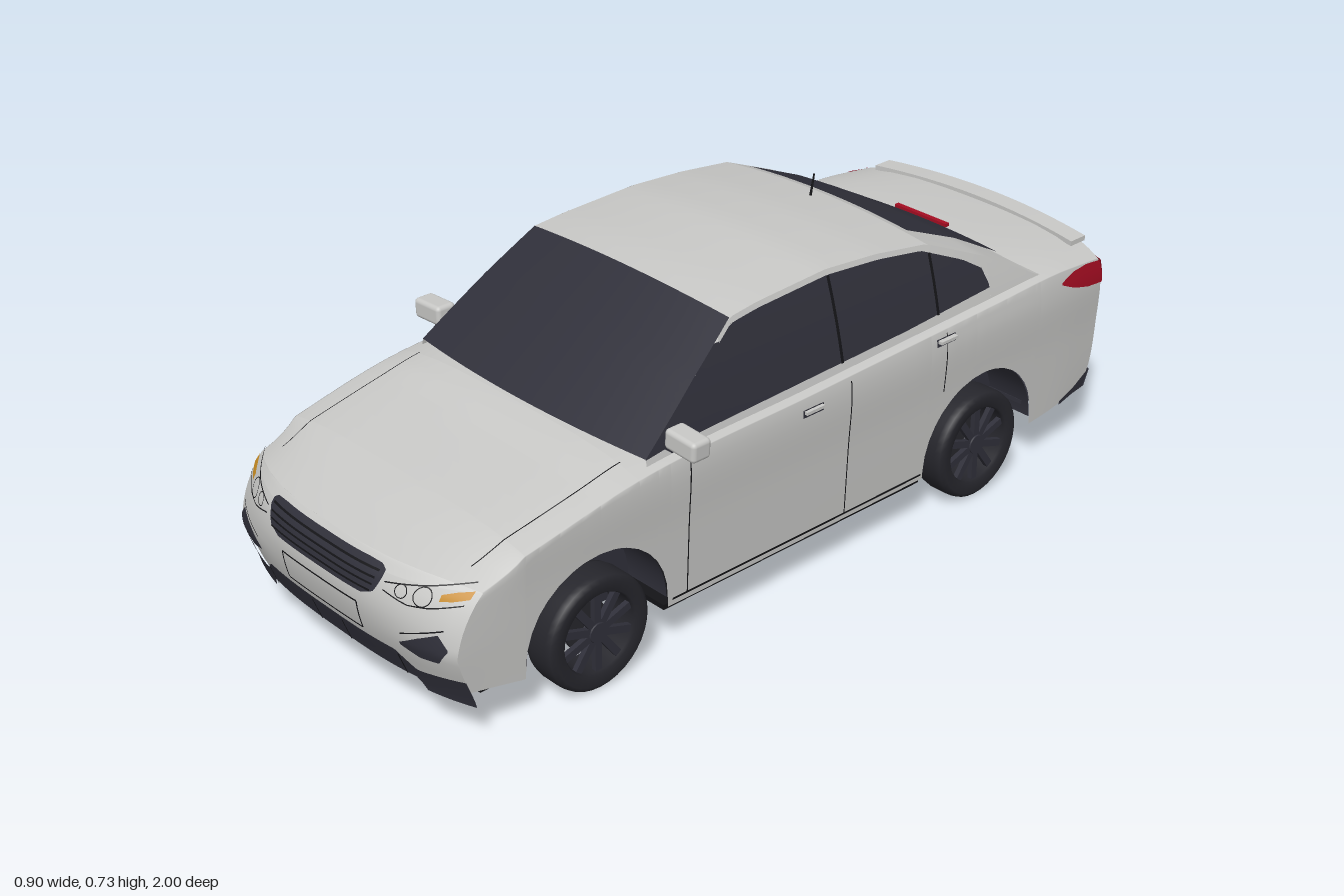
import * as THREE from 'three';
import { RoundedBoxGeometry } from 'three/addons/geometries/RoundedBoxGeometry.js';

const colour = (name, color) => new THREE.MeshStandardMaterial({ name, color, side: THREE.DoubleSide });
const paint = colour('silver paint', 0xc8c8c6);
const glass = colour('dark glass and trim', 0x30303a);
const rubber = colour('tyre rubber', 0x26262c);
const black = colour('black', 0x141417);
const red = colour('red lens', 0xa50d22);
const amber = colour('amber lens', 0xc58a22);

// Look-up through sorted points, straight or smooth
function table(points, smooth = false) {
  const p = [...points].sort((a, b) => a[0] - b[0]), n = p.length - 1;
  const slope = i => {
    const a = p[Math.max(i - 1, 0)], b = p[Math.min(i + 1, n)];
    return (b[1] - a[1]) / (b[0] - a[0]);
  };
  return x => {
    if (x <= p[0][0]) return p[0][1];
    if (x >= p[n][0]) return p[n][1];
    let i = 0;
    while (x > p[i + 1][0]) i++;
    const h = p[i + 1][0] - p[i][0], t = (x - p[i][0]) / h;
    if (!smooth) return p[i][1] + (p[i + 1][1] - p[i][1]) * t;
    const k = t * t * (3 - 2 * t);
    return p[i][1] * (1 - k) + p[i + 1][1] * k + h * t * (1 - t) * ((1 - t) * slope(i) - t * slope(i + 1));
  };
}

// Surface from a rule over a grid of whole-number steps
function grid(nu, nv, rule) {
  const pos = [], index = [];
  for (let i = 0; i <= nu; i++) for (let j = 0; j <= nv; j++) pos.push(...rule(i, j));
  for (let i = 0; i < nu; i++) for (let j = 0; j < nv; j++) {
    const a = i * (nv + 1) + j, b = a + nv + 1;
    index.push(a, b, a + 1, b, b + 1, a + 1);
  }
  const g = new THREE.BufferGeometry();
  g.setAttribute('position', new THREE.Float32BufferAttribute(pos, 3));
  g.setIndex(index);
  g.computeVertexNormals();
  return g;
}

// Body rules: plan width, side curve, shoulder, centre line and sill
const width = table([[1, .372], [.8, .38], [.5, .386], [-.6, .385], [-.85, .38], [-1, .372]], true);
const bulge = table([[.1, .965], [.2, .975], [.3, .985], [.42, 1], [.5, .975]], true);
const shoulder = table([[.99, .345], [.8, .385], [.48, .445], [0, .46], [-.56, .475], [-.78, .48], [-1, .467]], true);
const centre = table([[.99, .37], [.8, .408], [.6, .447], [.48, .474], [0, .485], [-.56, .505], [-.73, .512], [-.9, .506], [-1, .5]], true);
const sill = table([[.99, .13], [.78, .105], [.4, .112], [-.72, .115], [-1, .138]]);
const noseLine = table([[.1, .945], [.13, .955], [.2, .98], [.27, .993], [.33, .985], [.355, .97], [.38, .95]], true);
const tailLine = table([[.1, .955], [.14, .968], [.2, .99], [.3, .998], [.42, .998], [.47, .986], [.5, .975]], true);
const sweep = table([[.22, .05], [.36, .11]]);
const corner = x => Math.min(Math.abs(x) / .37, 1.05) ** 3;
const noseZ = (x, y) => noseLine(y) - sweep(y) * corner(x);
const tailZ = (x, y) => -tailLine(y) + .05 * corner(x);
const AXLES = [.594, -.537], ARCH = .183, ARCH_Y = .135, HOOD = 9, SIDE = 12;

// Bend the ends of the body to the nose and tail curves
function bend(x, y, z) {
  if (z > .78) z = .78 + (z - .78) * (noseZ(x, y) - .78) / .21;
  else if (z < -.78) z = -.78 + (z + .78) * (tailZ(x, y) + .78) / -.22;
  return [x, y, z];
}
function bottom(z) {
  let y = sill(z);
  for (const c of AXLES) if (Math.abs(z - c) < ARCH + 1e-6) y = ARCH_Y + Math.sqrt(Math.max(0, ARCH ** 2 - (z - c) ** 2));
  return y;
}
const acrossHood = [0, .25, .5, .7, .82, .9, .95, .98, .993, 1];
function section(z, j) {
  const ys = shoulder(z), k = Math.abs(j), s = Math.sign(j);
  if (k <= HOOD) {
    const t = acrossHood[k];
    return [s * t * width(z) * bulge(ys), ys + (centre(z) - ys) * (1 - t ** 4)];
  }
  const y = ys + (bottom(z) - ys) * (k - HOOD) / SIDE;
  return [s * width(z) * bulge(y), y];
}

// Cabin rules: lean of the sides, roof edge, roof crown, screen bow, glass edges
const cabinX = y => .36 - (y - .47) * .2 - Math.max(0, y - .47) ** 2 * .35;
const roofEdge = table([[.455, .468], [.3, .585], [.18, .668], [.1, .676], [-.1, .684], [-.25, .673], [-.4, .652], [-.57, .578], [-.73, .49], [-.77, .475]]);
const crown = table([[.455, .008], [.18, .02], [-.4, .02], [-.73, .022], [-.77, .025]]);
const bow = table([[.455, .03], [.18, .015], [-.4, 0]]);
const cabinTop = (z, t, lift = 0) => {
  const y = roofEdge(z), c = 1 - t * t;
  return [t * cabinX(y), y + crown(z) * c + lift, z + bow(z) * c];
};
const glassTop = z => z > .22 ? roofEdge(z) : z > -.38 ? roofEdge(z) - .012 : table([[-.38, .643], [-.5, .59], [-.555, .556], [-.572, .515]])(z);
const glassFoot = table([[.455, .466], [.4, .472], [-.3, .492], [-.572, .507]]);

export function createModel() {
  const car = new THREE.Group();
  car.name = 'car';
  const add = (name, geometry, material, x = 0, y = 0, z = 0, parent = car) => {
    const m = new THREE.Mesh(geometry, material);
    m.name = name;
    m.position.set(x, y, z);
    parent.add(m);
    return m;
  };
  // Thin panel between a lower and an upper outline, laid on a surface
  const panel = (name, material, lay, pts, nu = 24, nv = 6) => {
    const lo = table(pts.map(p => [p[0], p[1]])), hi = table(pts.map(p => [p[0], p[2]]));
    const a = pts[0][0], b = pts[pts.length - 1][0];
    return add(name, grid(nu, nv, (i, j) => {
      const u = a + (b - a) * i / nu;
      return lay(u, lo(u) + (hi(u) - lo(u)) * j / nv);
    }), material);
  };
  const box = (name, mat, w, h, d, x, y, z) => add(name, new THREE.BoxGeometry(w, h, d), mat, x, y, z);

  // Body shell with wheel arches, then nose and tail
  const stations = [];
  for (let i = 0; i <= 40; i++) stations.push(.99 - i * 1.99 / 40);
  for (const c of AXLES) {
    for (let k = 0; k <= 16; k++) stations.push(c + ARCH * Math.cos(k * Math.PI / 16));
    stations.push(c + ARCH + .001, c - ARCH - .001);
  }
  stations.sort((a, b) => b - a);
  const N = HOOD + SIDE;
  add('bodyShell', grid(stations.length - 1, 2 * N, (i, j) => bend(...section(stations[i], j - N), stations[i])), paint);
  for (const [name, z] of [['nose', .99], ['tail', -1]])
    add(name, grid(N, 28, (i, j) => {
      const [x, y] = section(z, i);
      return bend(x * (j / 14 - 1), y, z);
    }), paint);

  // Cabin top: windscreen, roof, rear pillars and rear window
  for (const [name, mat, a, b] of [['windscreen', glass, .455, .18], ['roof', paint, .18, -.4], ['rearPillars', paint, -.4, -.77]])
    add(name, grid(16, 20, (i, j) => cabinTop(a + (b - a) * i / 16, j / 10 - 1)), mat);
  add('rearWindow', grid(16, 16, (i, j) => cabinTop(-.41 - .315 * i / 16, (j / 8 - 1) * (.78 - .1 * i / 16), .004)), glass);
  box('highStopLamp', red, .16, .008, .012, 0, .519, -.735);
  const antenna = add('antenna', new THREE.CylinderGeometry(.002, .003, .05, 6), black, 0, .703, -.365);
  antenna.rotation.x = -.2;

  const front = s => (x, y) => [s * x, y, noseZ(x, y) + .006];
  const rear = s => (x, y) => [s * x, y, tailZ(x, y) - .005];
  const frame = (name, lay, w, y0, y1) => {
    for (const y of [y0, y1]) panel(name, black, lay, [[-w, y - .002, y + .002], [w, y - .002, y + .002]], 12, 1);
    for (const x of [-w, w]) panel(name, black, lay, [[x - .002, y0, y1], [x + .002, y0, y1]], 1, 4);
  };

  // Grilles, number plate frames and bumper trim
  panel('upperGrille', glass, front(1), [[-.187, .34, .352], [-.175, .308, .36], [-.14, .293, .362], [.14, .293, .362], [.175, .308, .36], [.187, .34, .352]], 48);
  for (let k = 0; k < 4; k++) {
    const y = .307 + k * .014, w = .165 + k * .004;
    panel('grilleSlat', black, (x, v) => [x, v, noseZ(x, v) + .009], [[-w, y - .002, y + .002], [w, y - .002, y + .002]], 20, 1);
  }
  panel('lowerGrille', glass, front(1), [[-.37, .097, .165], [-.252, .097, .15], [-.248, .125, .155], [-.21, .125, .187], [.21, .125, .187], [.248, .125, .155], [.252, .097, .15], [.37, .097, .165]], 80);
  for (const x of [-.22, -.05, .05, .22])
    panel('lowerGrilleBar', black, (u, v) => [u, v, noseZ(u, v) + .009], [[x - .002, .127, .18], [x + .002, .127, .18]], 1, 4);
  frame('frontPlateFrame', front(1), .125, .201, .266);
  frame('rearPlateFrame', rear(1), .125, .345, .415);
  panel('rearBumperTrim', glass, rear(1), [[-.365, .138, .18], [-.25, .138, .165], [.25, .138, .165], [.365, .138, .18]], 32);

  // Boot lip with swept ends
  const lip = new THREE.BoxGeometry(.62, .012, .05, 16, 1, 1), lp = lip.attributes.position;
  for (let i = 0; i < lp.count; i++) {
    const c = (lp.getX(i) / .31) ** 2;
    lp.setY(i, lp.getY(i) - .012 * c);
    lp.setZ(i, lp.getZ(i) + .02 * c);
  }
  lip.computeVertexNormals();
  add('bootLip', lip, paint, 0, .507, -.952);

  for (const s of [1, -1]) {
    const side = (z, y) => {
      const p = bend(width(z) * bulge(y), y, z);
      return [s * (p[0] + .003), p[1], p[2]];
    };
    const cabin = (z, y) => [s * cabinX(y), y, z];
    const over = (z, y) => [s * (cabinX(y) + .003), y, z];
    const along = (a, b, n, f) => Array.from({ length: n + 1 }, (_, i) => f(a + (b - a) * i / n));

    // Side windows, roof rail and rear quarter
    panel('sideWindows', glass, cabin, along(.455, -.572, 60, z => [z, glassFoot(z), glassTop(z)]), 60);
    panel('roofRail', paint, cabin, along(.22, -.572, 48, z => [z, glassTop(z), roofEdge(z)]), 48, 2);
    panel('rearQuarter', paint, cabin, along(-.572, -.77, 12, z => [z, .45, Math.max(roofEdge(z), .45)]), 12);
    panel('beltLine', paint, cabin, along(.455, -.572, 30, z => [z, .42, glassFoot(z)]), 30, 2);
    for (const z of [-.1, -.4]) panel('windowPillar', black, over, [[z - .004, glassFoot(z), glassTop(z)], [z + .004, glassFoot(z), glassTop(z)]], 1, 4);

    // Door seams, sill line and handles
    for (const [z, y0, y1] of [[.36, .13, .44], [-.1, .13, .455], [-.4, .32, .465]])
      panel('doorSeam', black, side, [[z - .0015, y0, y1], [z + .0015, y0, y1]], 1, 14);
    panel('sillLine', black, side, [[.4, .126, .131], [-.345, .126, .131]], 16, 1);
    for (const [z, y] of [[.015, .428], [-.397, .449]]) {
      panel('handleRecess', glass, side, [[z - .03, y - .009, y + .009], [z + .03, y - .009, y + .009]], 4, 2);
      box('doorHandle', paint, .012, .007, .052, s * .391, y + .003, z);
    }

    // Bonnet shut line
    add('bonnetLine', grid(24, 1, (i, j) => {
      const z = .93 - .44 * i / 24, t = .84 + j * .006;
      const p = bend(t * width(z) * bulge(shoulder(z)), shoulder(z) + (centre(z) - shoulder(z)) * (1 - t ** 4) + .003, z);
      return [s * p[0], p[1], p[2]];
    }), black);

    // Headlamp: edge lines, lamp rings and marker
    const lampTop = table([[.195, .334], [.28, .347], [.355, .363]]), lampFoot = table([[.195, .318], [.25, .305], [.3, .31], [.355, .325]]);
    for (const f of [lampTop, lampFoot]) panel('headlampEdge', black, front(s), along(.195, .355, 8, x => [x, f(x) - .0012, f(x) + .0012]), 16, 1);
    for (const [x, r] of [[.28, .017], [.235, .012]])
      add('lampRing', grid(20, 1, (i, j) => {
        const a = i * Math.PI / 10, q = r + j * .002;
        return front(s)(x + q * Math.cos(a), .327 + q * Math.sin(a));
      }), black);
    panel('frontMarker', amber, front(s), [[.312, .326, .338], [.335, .329, .345], [.36, .336, .349]], 8, 3);

    // Fog lamp recess and crease above it
    panel('fogRecess', glass, front(s), [[.235, .212, .218], [.28, .197, .243], [.325, .2, .264], [.348, .234, .238]], 20);
    panel('fogCrease', black, front(s), [[.24, .239, .242], [.335, .273, .276]], 10, 1);

    // Tail lamps wrap from the side onto the tail
    panel('tailLampSide', red, side, [[-.8, .45, .456], [-.86, .43, .47], [-.93, .415, .472], [-1, .408, .465]], 20);
    panel('tailLampRear', red, rear(s), [[.17, .43, .448], [.24, .405, .462], [.372, .408, .466]], 20);
    panel('rearIndicator', amber, (x, y) => [s * x, y, tailZ(x, y) - .008], [[.21, .422, .428], [.31, .418, .43]], 8, 2);
    panel('rearReflector', red, rear(s), [[.3, .2, .21], [.345, .2, .21]], 6, 1);
    panel('rearTrimSide', glass, side, [[-1, .138, .18], [-.94, .135, .152], [-.86, .125, .135]], 10, 2);

    // Door mirror
    const mirror = add('doorMirror', new RoundedBoxGeometry(.088, .046, .05, 3, .01), paint, s * .406, .498, .385);
    mirror.rotation.z = -s * .05;
    box('mirrorFoot', glass, .04, .014, .03, s * .362, .48, .39);

    // Wheels and wells
    for (const z of AXLES) {
      const liner = add('archLiner', new THREE.CylinderGeometry(ARCH, ARCH, .12, 24, 1, true, 0, Math.PI), glass, s * .31, ARCH_Y, z);
      liner.rotation.z = Math.PI / 2;
      box('wellWall', glass, .006, .215, .366, s * .25, .207, z);

      const wheel = new THREE.Group();
      wheel.name = 'wheel';
      wheel.position.set(s * .338, .131, z);
      wheel.rotation.z = -s * Math.PI / 2;
      car.add(wheel);
      const profile = [[.092, -.04], [.118, -.043], [.128, -.036], [.131, -.022], [.131, .022], [.128, .036], [.118, .043], [.094, .04], [.09, .034], [.088, -.036], [.092, -.04]];
      add('tyre', new THREE.LatheGeometry(profile.map(p => new THREE.Vector2(...p)), 36), rubber, 0, 0, 0, wheel);
      add('hub', new THREE.CylinderGeometry(.022, .028, .02, 18), glass, 0, .025, 0, wheel);
      for (let k = 0; k < 10; k++) {
        const spoke = new THREE.Group();
        spoke.rotation.y = k * Math.PI / 5;
        wheel.add(spoke);
        add('spoke', new THREE.BoxGeometry(.075, .012, .017), glass, .053, .026, 0, spoke);
      }
      add('brakeDisc', new THREE.CylinderGeometry(.055, .055, .008, 24), rubber, 0, -.005, 0, wheel);
    }

    // Silencer
    const can = add('silencer', new THREE.CapsuleGeometry(.035, .1, 6, 14), glass, s * .2, .135, -.83);
    can.rotation.z = Math.PI / 2;
  }

  // Underside
  box('floorMiddle', black, .73, .012, .765, 0, .108, .032);
  box('floorFront', black, .5, .012, .37, 0, .108, .597);
  box('floorNose', black, .68, .012, .09, 0, .108, .825);
  box('rearFloor', glass, .5, .01, .37, 0, .165, -.535);
  box('bootFloor', glass, .7, .01, .23, 0, .165, -.83);
  const axle = add('rearAxle', new THREE.CylinderGeometry(.015, .015, .6, 10), glass, 0, .131, AXLES[1]);
  axle.rotation.z = Math.PI / 2;
  return car;
}
